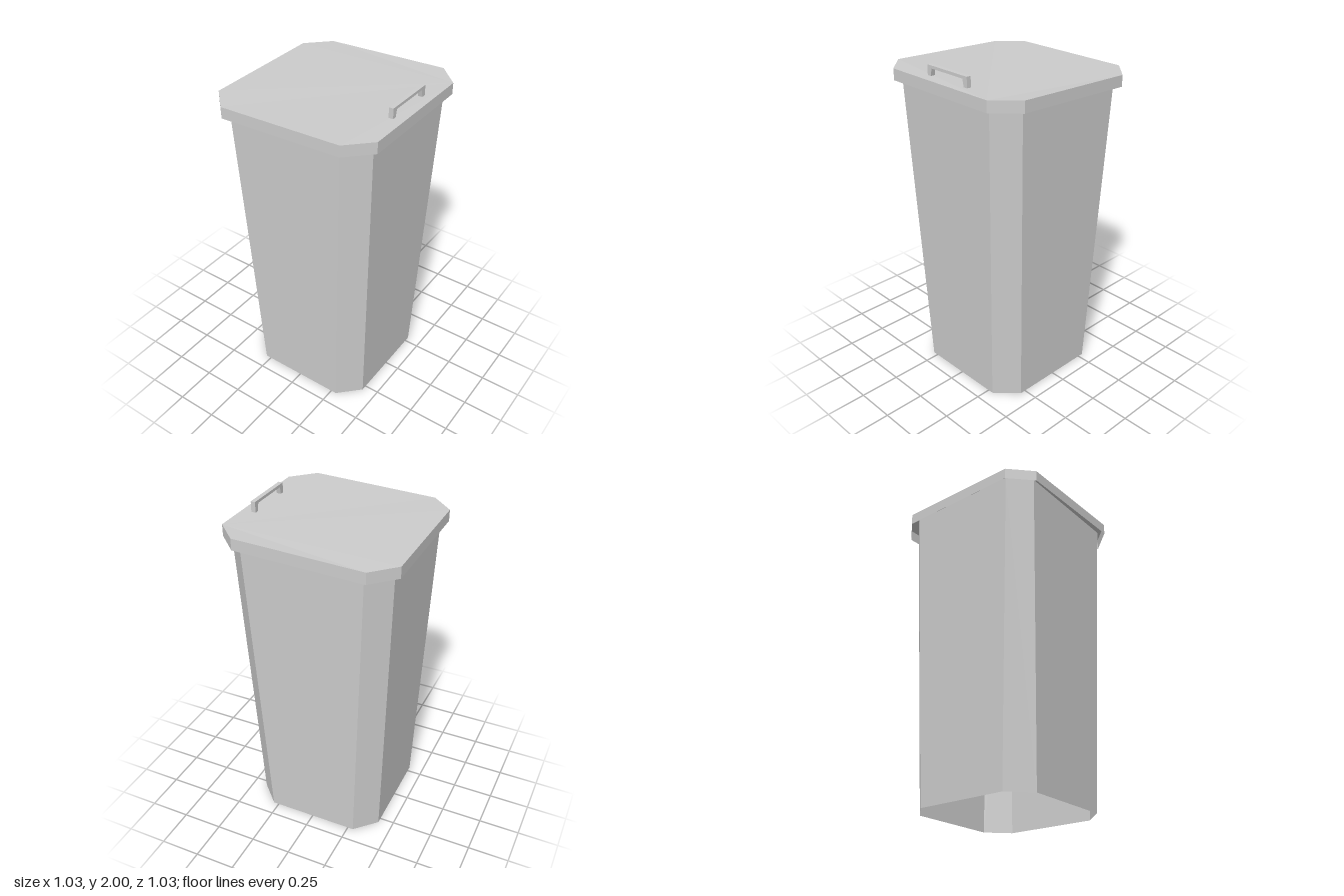
import * as THREE from 'three';

// Square ring with cut corners: half width w, flat half length c, height from a rule of x
function ring(w, c, heightAt) {
  return [[w, -c], [w, c], [c, w], [-c, w], [-w, c], [-w, -c], [-c, -w], [c, -w]]
    .map(([x, z]) => new THREE.Vector3(x, heightAt(x), z));
}

// Flat-faced walls between two rings, optionally closed on top
function shell(lower, upper, capTop) {
  const points = [];
  const n = lower.length;
  for (let i = 0; i < n; i++) {
    const j = (i + 1) % n;
    points.push(lower[i], upper[i], upper[j], lower[i], upper[j], lower[j]);
    if (capTop && i > 0 && j > 0) points.push(upper[0], upper[j], upper[i]);
  }
  const geometry = new THREE.BufferGeometry().setFromPoints(points);
  geometry.computeVertexNormals();
  return geometry;
}

export function createModel() {
  const group = new THREE.Group();
  group.name = 'wheelieBin';
  const grey = new THREE.MeshStandardMaterial({ color: 0xcccccc, side: THREE.DoubleSide });
  grey.name = 'grey plastic';
  const add = (name, geometry) => {
    const mesh = new THREE.Mesh(geometry, grey);
    mesh.name = name;
    group.add(mesh);
  };

  // Tapered body, open at the bottom, tucked just inside the lid
  add('body', shell(ring(0.41, 0.285, () => 0), ring(0.476, 0.356, () => 1.88), false));

  // Hollow lid, sloping down towards -x with level ends
  const slope = (x) => 0.03 * THREE.MathUtils.clamp((x + 0.38) / 0.76, 0, 1);
  add('lid', shell(
    ring(0.515, 0.382, (x) => 1.842 + slope(x)),
    ring(0.515, 0.382, (x) => 1.91 + slope(x)),
    true));

  // Bracket handle on the high side of the lid
  const profile = new THREE.Shape([
    [-0.17, 1.937], [-0.145, 1.937], [-0.135, 1.983], [0.115, 1.983],
    [0.125, 1.937], [0.15, 1.937], [0.15, 2], [-0.17, 2],
  ].map(([z, y]) => new THREE.Vector2(z, y)));
  const handle = new THREE.ExtrudeGeometry(profile, { depth: 0.027, bevelEnabled: false });
  handle.rotateY(-Math.PI / 2).translate(0.457, 0, 0);
  add('handle', handle);

  return group;
}
